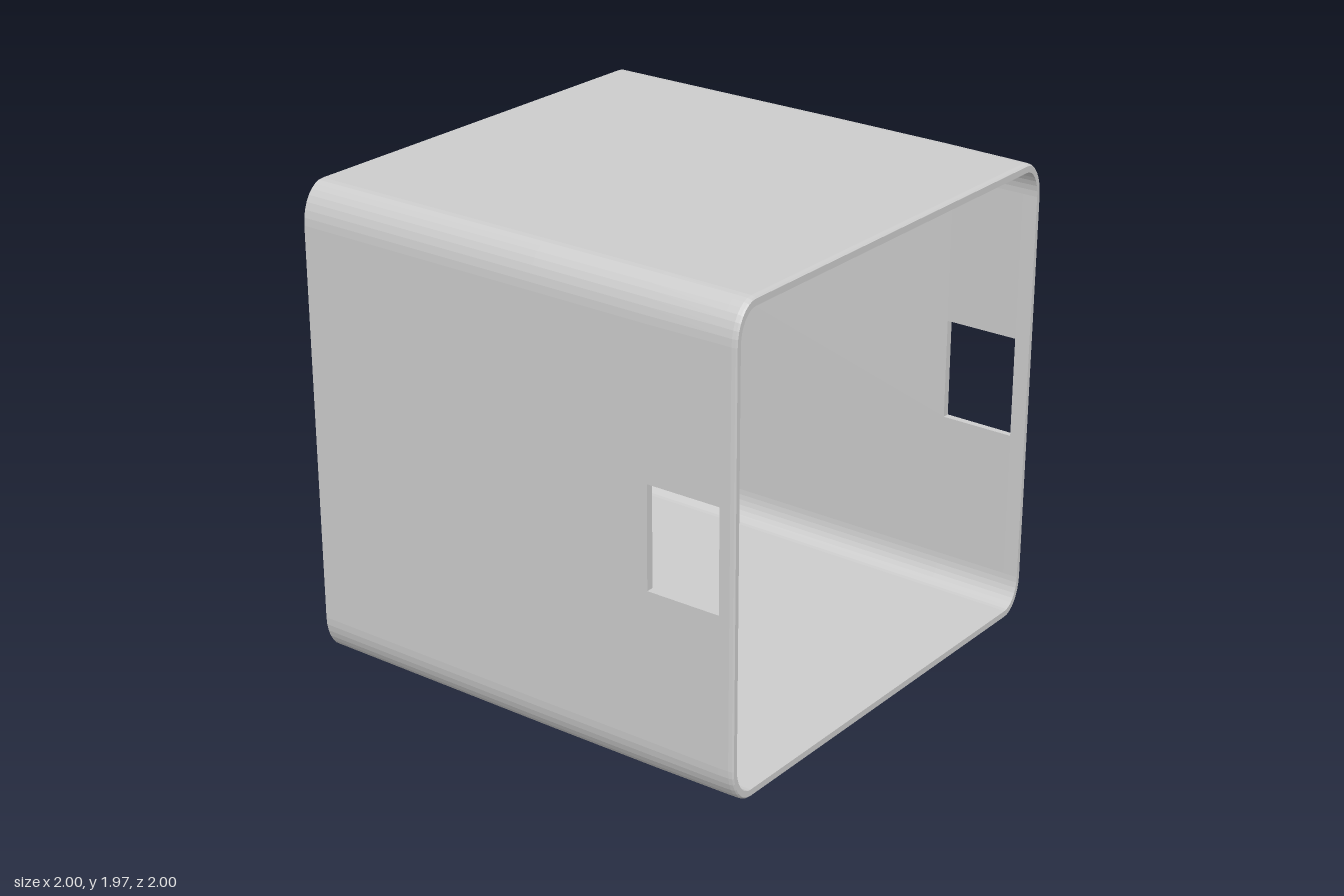
import * as THREE from 'three';

const CENTRE_Y = 0.985;
const WINDOW_Y = [0.78, 1.2];
const WINDOW_Z = [0.62, 0.935];
const CORNER_STEPS = 8;
const WINDOW_SEGMENTS = [0, CORNER_STEPS * 2 + 4]; // ring segments on the +x and -x walls

// Rounded-rectangle cross-section, counter-clockwise seen from the front
function ring(z, hw, hh, rx, ry) {
  const points = [];
  const add = (x, y) => points.push(new THREE.Vector3(x, y, z));
  const corner = (sx, sy, start) => {
    for (let i = 0; i <= CORNER_STEPS; i++) {
      const a = start + (i / CORNER_STEPS) * Math.PI / 2;
      add(sx * (hw - rx) + rx * Math.cos(a), CENTRE_Y + sy * (hh - ry) + ry * Math.sin(a));
    }
  };
  add(hw, WINDOW_Y[0]);
  add(hw, WINDOW_Y[1]);
  corner(1, 1, 0);
  corner(-1, 1, Math.PI / 2);
  add(-hw, WINDOW_Y[1]);
  add(-hw, WINDOW_Y[0]);
  corner(-1, -1, Math.PI);
  corner(1, -1, Math.PI * 1.5);
  return points;
}

function meshFrom(name, points) {
  const geometry = new THREE.BufferGeometry().setFromPoints(points);
  geometry.computeVertexNormals();
  const mesh = new THREE.Mesh(geometry, new THREE.MeshStandardMaterial({ color: 0xcccccc, flatShading: true }));
  mesh.name = name;
  return mesh;
}

const quad = (out, a, b, c, d) => out.push(a, b, c, a, c, d);

// Quads between neighbouring rings, leaving the two windows open at one span
function skin(rings, windowSpan) {
  const out = [];
  for (let i = 0; i < rings.length - 1; i++) {
    const n = rings[i].length;
    for (let k = 0; k < n; k++) {
      if (i === windowSpan && WINDOW_SEGMENTS.includes(k)) continue;
      const m = (k + 1) % n;
      quad(out, rings[i][k], rings[i][m], rings[i + 1][m], rings[i + 1][k]);
    }
  }
  return out;
}

// Flat panel closing a ring
function panel(loop, facesFront) {
  const out = [];
  const centre = new THREE.Vector3(0, CENTRE_Y, loop[0].z);
  loop.forEach((a, k) => {
    const b = loop[(k + 1) % loop.length];
    if (facesFront) out.push(centre, a, b);
    else out.push(centre, b, a);
  });
  return out;
}

export function createModel() {
  const group = new THREE.Group();
  group.name = 'openBox';

  // Outer skin tapers slightly and has a small rounded front edge
  const outer = [
    ring(-1, 1, 0.985, 0.11, 0.16),
    ring(0.1, 0.998, 0.982, 0.11, 0.16),
    ring(WINDOW_Z[0], 0.995, 0.979, 0.11, 0.16),
    ring(WINDOW_Z[1], 0.991, 0.975, 0.11, 0.155),
    ring(0.98, 0.99, 0.974, 0.11, 0.155),
    ring(0.994, 0.987, 0.971, 0.107, 0.152),
    ring(1, 0.982, 0.966, 0.102, 0.147),
  ];
  // Inner skin runs from the front opening to the back wall
  const inner = [
    ring(1, 0.964, 0.94, 0.085, 0.12),
    ring(WINDOW_Z[1], 0.964, 0.94, 0.085, 0.12),
    ring(WINDOW_Z[0], 0.965, 0.941, 0.085, 0.12),
    ring(-0.94, 0.967, 0.943, 0.085, 0.12),
  ];

  group.add(meshFrom('outerWalls', skin(outer, 2)));
  group.add(meshFrom('innerWalls', skin(inner, 1)));
  group.add(meshFrom('frontRim', skin([outer[outer.length - 1], inner[0]], -1)));
  group.add(meshFrom('backOutside', panel(outer[0], false)));
  group.add(meshFrom('backInside', panel(inner[3], true)));

  // Wall thickness around each side window
  WINDOW_SEGMENTS.forEach((k, side) => {
    const edge = (back, front) => [back[k], back[k + 1], front[k + 1], front[k]];
    const o = edge(outer[2], outer[3]);
    const n = edge(inner[2], inner[1]);
    const out = [];
    for (let i = 0; i < 4; i++) {
      const j = (i + 1) % 4;
      quad(out, o[i], o[j], n[j], n[i]);
    }
    group.add(meshFrom(side === 0 ? 'leftWindowFrame' : 'rightWindowFrame', out));
  });

  return group;
}
